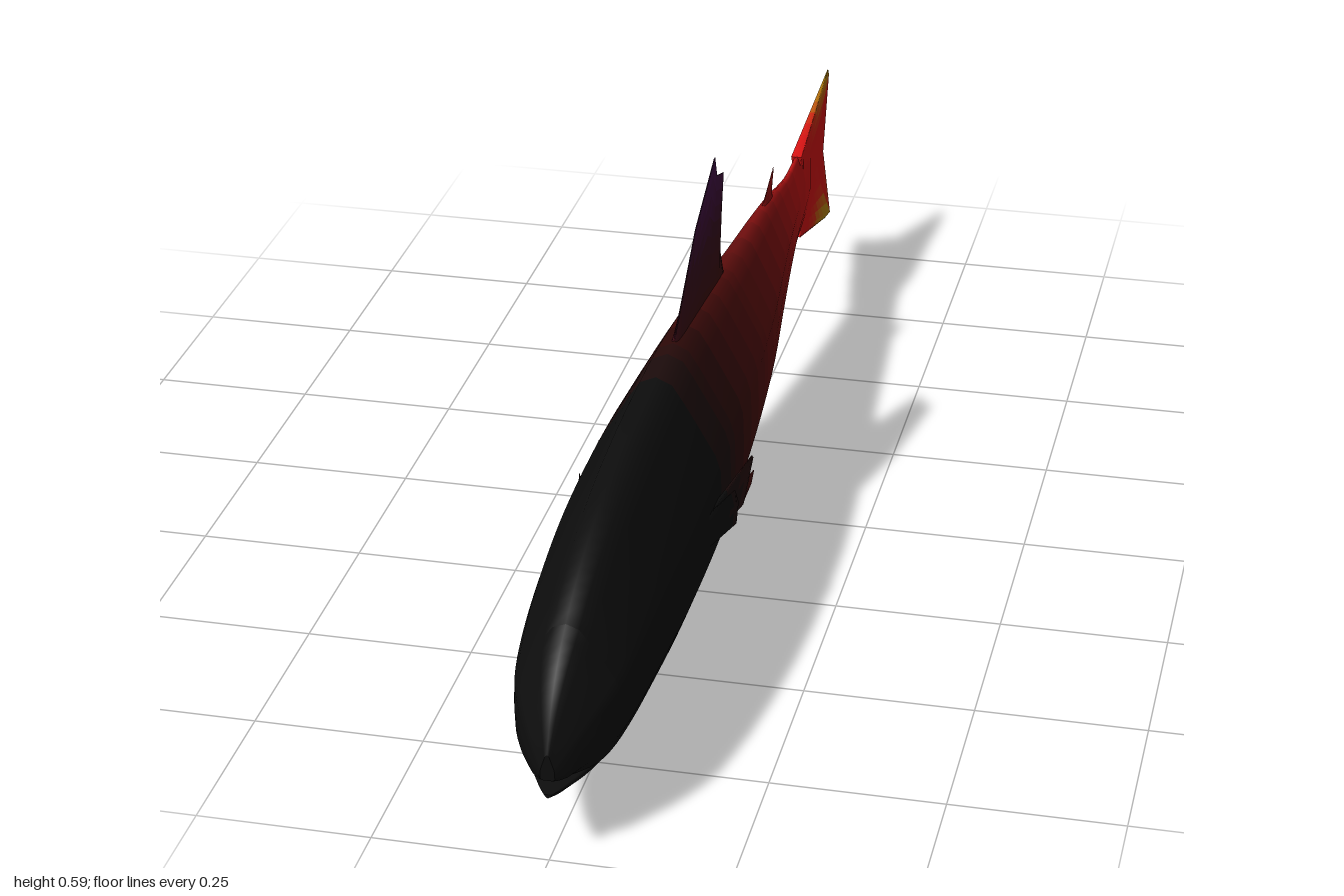
import * as THREE from 'three';

const clamp = THREE.MathUtils.clamp, lerp = THREE.MathUtils.lerp;

// Colour from evenly spaced stops, t in 0..1
function ramp(stops, t) {
  const f = clamp(t, 0, 1) * (stops.length - 1);
  const i = Math.min(Math.floor(f), stops.length - 2);
  return new THREE.Color(stops[i]).lerp(new THREE.Color(stops[i + 1]), f - i);
}

// Skin closed rings of points; faces are sorted into colour bands sharing smooth normals.
// shade(point) gives the place on the colour ramp.
function loft(name, rings, stops, shade, side = THREE.FrontSide) {
  const n = rings[0].length, steps = 18;
  const collapse = ring => {
    const c = ring.reduce((s, p) => s.add(p), new THREE.Vector3()).divideScalar(n);
    return ring.map(() => c);
  };
  const last = rings[rings.length - 1];
  const rows = [collapse(rings[0]), rings[0], ...rings, last, collapse(last)];
  const index = [], bands = new Map();
  rows.slice(1).forEach((row, r) => {
    if (r === 1 || r === rows.length - 3) return; // hard edge at the end caps
    for (let c = 0; c < n; c++) {
      const d = (c + 1) % n, a = r * n + c, b = r * n + d;
      const tris = [a, a + n, b, b, a + n, b + n];
      const mid = rows[r][c].clone().add(rows[r][d]).add(row[c]).add(row[d]).multiplyScalar(0.25);
      const key = Math.round(clamp(shade(mid), 0, 1) * steps);
      if (!bands.has(key)) bands.set(key, []);
      bands.get(key).push(...tris);
      index.push(...tris);
    }
  });
  const full = new THREE.BufferGeometry().setFromPoints(rows.flat());
  full.setIndex(index);
  full.computeVertexNormals();
  const group = new THREE.Group();
  group.name = name;
  for (const [key, tris] of bands) {
    const g = new THREE.BufferGeometry();
    g.setAttribute('position', full.attributes.position);
    g.setAttribute('normal', full.attributes.normal);
    g.setIndex(tris);
    const mesh = new THREE.Mesh(g, new THREE.MeshStandardMaterial({ color: ramp(stops, key / steps), side }));
    mesh.name = name + 'Band' + key;
    group.add(mesh);
  }
  return group;
}

// Body stations from snout to tail root: z, top, bottom, half width
const STATIONS = [
  [1, 0.17, 0.102, 0.01], [0.975, 0.225, 0.093, 0.032], [0.94, 0.27, 0.085, 0.054],
  [0.89, 0.308, 0.077, 0.073], [0.81, 0.35, 0.066, 0.083], [0.7, 0.385, 0.059, 0.09],
  [0.56, 0.406, 0.056, 0.096], [0.4, 0.416, 0.058, 0.097], [0.25, 0.419, 0.062, 0.093],
  [0.1, 0.409, 0.069, 0.086], [-0.05, 0.394, 0.081, 0.076], [-0.2, 0.376, 0.097, 0.063],
  [-0.35, 0.362, 0.13, 0.047], [-0.475, 0.346, 0.158, 0.034], [-0.6, 0.324, 0.174, 0.021],
  [-0.7, 0.327, 0.174, 0.013], [-0.78, 0.328, 0.178, 0.006],
];
// Cross-section: half width against height, both 0..1
const SECTION = [
  [0, 0], [0.33, 0.03], [0.62, 0.1], [0.83, 0.18], [1, 0.3], [1.02, 0.45], [1, 0.6],
  [0.92, 0.67], [0.62, 0.81], [0.42, 0.9], [0.25, 0.97], [0, 1],
];
const curves = [1, 2, 3].map(k => new THREE.SplineCurve(STATIONS.map(s => new THREE.Vector2(s[0], s[k]))));

function widthAt(t) {
  const i = clamp(SECTION.findIndex(s => s[1] >= t), 1, SECTION.length - 1);
  const [a, b] = [SECTION[i - 1], SECTION[i]];
  return lerp(a[0], b[0], (t - a[1]) / (b[1] - a[1]));
}

// One body ring, optionally cut flat at a lower or upper height
function ring(u, low = -1, high = 1) {
  const [top, bottom, w] = curves.map(c => c.getPoint(u).y), z = curves[0].getPoint(u).x;
  const h = top - bottom;
  const lo = clamp((low - bottom) / h, 0, 1), hi = clamp((high - bottom) / h, 0, 1);
  const half = SECTION.map(([, t]) => {
    const s = clamp(t, lo, hi);
    let x = widthAt(s) * w;
    if (t < lo) x *= t / lo;
    if (t > hi) x *= (1 - t) / (1 - hi);
    return new THREE.Vector3(x, bottom + s * h, z);
  });
  const other = half.slice(1, -1).reverse().map(p => new THREE.Vector3(-p.x, p.y, p.z));
  return [...half, ...other];
}

// Tapered fin between a base line and a free edge; points are [z, y, x]
function fin(name, base, edge, thick, stops, shade, sx = 1) {
  const rows = 8, sub = 3, rings = [];
  const fine = line => line.slice(1).flatMap((p, i) =>
    Array.from({ length: sub }, (_, k) => p.map((v, j) => lerp(line[i][j], v, k / sub))))
    .concat([line[line.length - 1]]);
  const A = fine(base), B = fine(edge);
  for (let r = 0; r <= rows; r++) {
    const t = r / rows, half = thick * (1 - t) + 0.0006;
    const mid = A.map((a, i) => a.map((v, j) => lerp(v, B[i][j], t)));
    const sheet = d => mid.map(([z, y, x = 0]) => new THREE.Vector3(sx * x + d, y, z));
    rings.push([...sheet(half), ...sheet(-half).reverse()]);
  }
  return loft(name, rings, stops, shade, THREE.DoubleSide);
}

export function createModel() {
  const fish = new THREE.Group();
  fish.name = 'fish';
  const skin = [0x0d0d0d, 0x2e0908, 0x500c0a, 0x650e0d, 0x8a1010, 0xb41212, 0xd81414];
  const bodyShade = p => (0.4 - p.z) / 1.2;

  // Trunk behind the mouth corner
  const mouthU = 3 / (STATIONS.length - 1), trunk = [];
  for (let i = 0; i <= 52; i++) trunk.push(ring(lerp(mouthU, 1, i / 52)));
  fish.add(loft('body', trunk, skin, bodyShade));

  // Upper head and lower jaw, parted by the open mouth
  const upper = [], lower = [];
  for (let i = 0; i <= 9; i++) {
    const k = i / 9;
    upper.push(ring(k * mouthU, lerp(0.13, 0.115, k)));
    lower.push(ring(k * mouthU, -1, lerp(0.108, 0.115, k)));
  }
  fish.add(loft('upperHead', upper, skin, bodyShade), loft('lowerJaw', lower, skin, bodyShade));

  // Dorsal fin
  fish.add(fin('dorsalFin',
    [[0.25, 0.405], [0.17, 0.4], [0.1, 0.395], [0.04, 0.39], [0, 0.385], [-0.03, 0.38], [-0.05, 0.38], [-0.07, 0.38]],
    [[0.24, 0.422], [0.1, 0.535], [-0.035, 0.597], [-0.05, 0.56], [-0.097, 0.545], [-0.085, 0.5], [-0.042, 0.447], [-0.072, 0.425]],
    0.007, [0x3c0a0c, 0x380a20, 0x441048], p => (p.y - 0.4) / 0.17));

  // Small fin behind the dorsal
  fish.add(fin('adiposeFin', [[-0.39, 0.345], [-0.43, 0.34], [-0.47, 0.335]],
    [[-0.41, 0.36], [-0.487, 0.39], [-0.46, 0.355]], 0.004, skin, bodyShade));

  // Anal fin
  fish.add(fin('analFin',
    [[-0.04, 0.1], [-0.1, 0.105], [-0.16, 0.11], [-0.22, 0.12], [-0.26, 0.13], [-0.3, 0.14], [-0.35, 0.15]],
    [[-0.05, 0.083], [-0.13, 0.035], [-0.215, 0.007], [-0.285, 0.004], [-0.305, 0.033], [-0.292, 0.085], [-0.34, 0.118]],
    0.004, skin, bodyShade));

  // Forked tail fin, golden at both tips
  fish.add(fin('tailFin',
    [[-0.68, 0.325], [-0.7, 0.315], [-0.7, 0.28], [-0.7, 0.245], [-0.7, 0.21], [-0.7, 0.185], [-0.68, 0.176]],
    [[-0.962, 0.374], [-0.97, 0.362], [-0.868, 0.285], [-0.862, 0.245], [-0.905, 0.18], [-1, 0.083], [-0.95, 0.093]],
    0.008, [0xd81414, 0xd02c12, 0xc06010, 0xb8860e],
    p => (Math.abs(p.y - 0.24) - 0.055) / 0.075 * clamp((-0.76 - p.z) / 0.1, 0, 1)));

  // Paired fins
  for (const [sx, label] of [[1, 'left'], [-1, 'right']]) {
    fish.add(fin(label + 'PectoralFin',
      [[0.48, 0.245, 0.09], [0.485, 0.225, 0.09], [0.47, 0.2, 0.09]],
      [[0.24, 0.24, 0.117], [0.23, 0.232, 0.117], [0.3, 0.19, 0.117]],
      0.003, skin, bodyShade, sx));
    fish.add(fin(label + 'PectoralFlap',
      [[0.46, 0.245, 0.092], [0.47, 0.22, 0.092], [0.46, 0.195, 0.092]],
      [[0.36, 0.245, 0.117], [0.34, 0.215, 0.118], [0.35, 0.184, 0.117]],
      0.002, skin, bodyShade, sx));
    fish.add(fin(label + 'PelvicFin',
      [[0.2, 0.125, 0.068], [0.2, 0.112, 0.062], [0.19, 0.1, 0.055]],
      [[0.075, 0.126, 0.086], [0.09, 0.11, 0.085], [0.14, 0.095, 0.08]],
      0.003, skin, bodyShade, sx));
  }
  return fish;
}
